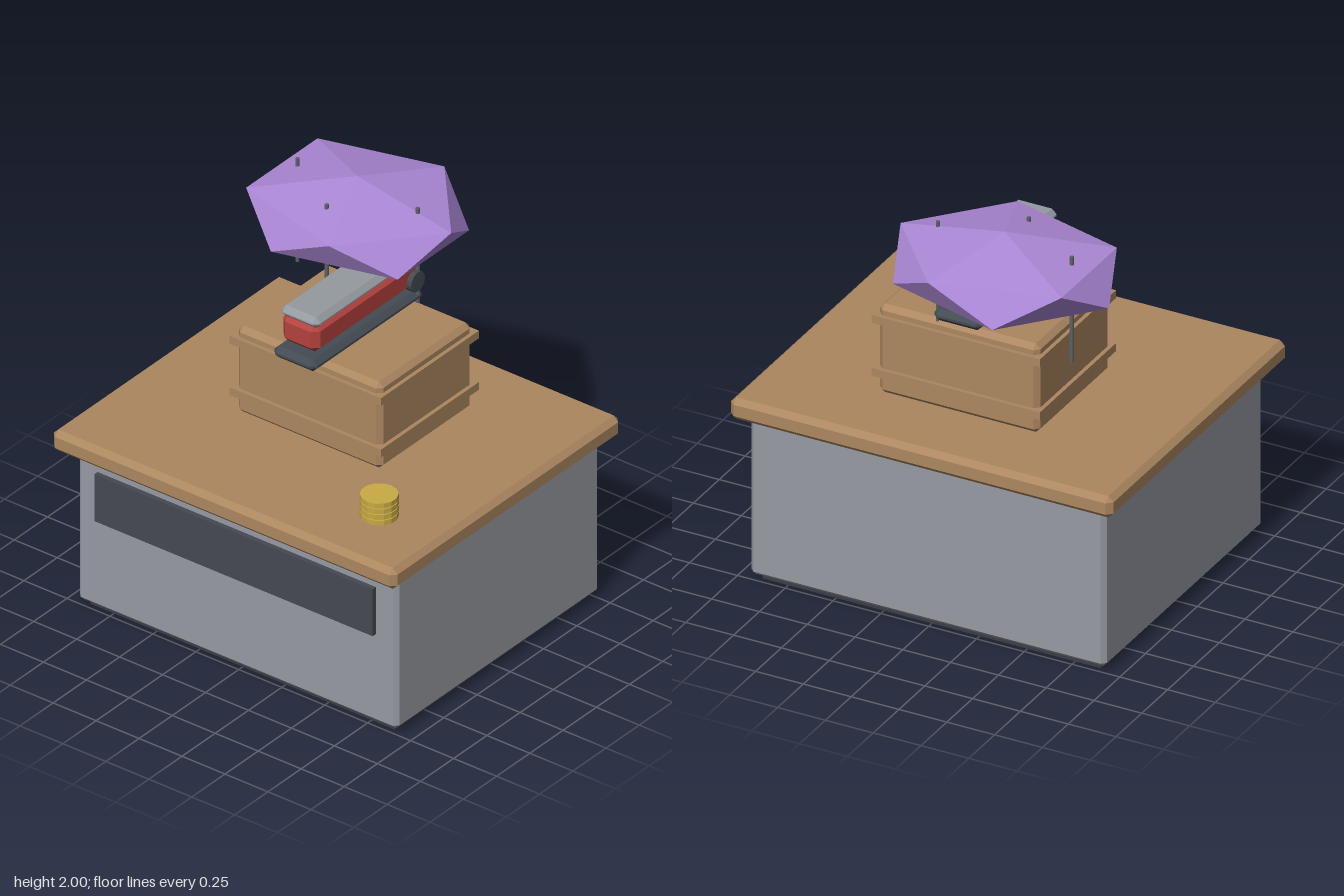
import * as THREE from 'three';
import { ConvexGeometry } from 'three/addons/geometries/ConvexGeometry.js';

export function createModel() {
  const model = new THREE.Group();
  model.name = 'counter';

  const mat = (name, color) => {
    const m = new THREE.MeshStandardMaterial({ color, flatShading: true });
    m.name = name;
    return m;
  };
  const wood = mat('wood', 0xac8760);
  const grey = mat('cabinet grey', 0x979aa2);
  const slate = mat('slate', 0x454952);
  const plinthDark = mat('plinth dark', 0x3c3d46);
  const steel = mat('steel', 0x949a9f);
  const iron = mat('iron', 0x434b53);
  const red = mat('red', 0xb4423d);
  const gold = mat('gold', 0xc9aa44);
  const purple = mat('purple', 0xab87d6);
  const rodGrey = mat('rod grey', 0x5e6165);

  const add = (name, geometry, material, x, y, z, parent = model) => {
    const mesh = new THREE.Mesh(geometry, material);
    mesh.name = name;
    mesh.position.set(x, y, z);
    parent.add(mesh);
    return mesh;
  };

  // Box from min/max extents; c > 0 chamfers every edge
  const block = (name, material, [x0, x1], [y0, y1], [z0, z1], c = 0, parent = model) => {
    const w = x1 - x0, h = y1 - y0, d = z1 - z0;
    let geometry;
    if (c > 0) {
      const pts = [];
      for (const sx of [-1, 1]) for (const sy of [-1, 1]) for (const sz of [-1, 1])
        for (let full = 0; full < 3; full++) {
          const k = (axis) => (axis === full ? 0 : c);
          pts.push(new THREE.Vector3(sx * (w / 2 - k(0)), sy * (h / 2 - k(1)), sz * (d / 2 - k(2))));
        }
      geometry = new ConvexGeometry(pts);
    } else geometry = new THREE.BoxGeometry(w, h, d);
    return add(name, geometry, material, (x0 + x1) / 2, (y0 + y1) / 2, (z0 + z1) / 2, parent);
  };

  // Cabinet
  block('plinth', plinthDark, [-0.885, 0.885], [0, 0.04], [-0.72, 0.72]);
  block('cabinet', grey, [-0.93, 0.93], [0.03, 0.867], [-0.765, 0.765], 0.022);
  block('frontPanel', slate, [-0.81, 0.81], [0.515, 0.77], [0.75, 0.79]);
  block('counterTop', wood, [-1, 1], [0.866, 0.98], [-0.838, 0.876], 0.027);

  // Wooden crate with two bands
  const crate = new THREE.Group();
  crate.name = 'crate';
  model.add(crate);
  block('crateBody', wood, [-0.42, 0.42], [0.98, 1.448], [-0.467, 0.23], 0.025, crate);
  for (const y of [1.075, 1.355])
    block('crateBand', wood, [-0.44, 0.44], [y, y + 0.042], [-0.487, 0.25], 0, crate);

  // Hinged press on the crate
  const press = new THREE.Group();
  press.name = 'press';
  model.add(press);
  block('pressBase', iron, [-0.125, 0.125], [1.448, 1.51], [-0.487, 0.345], 0.025, press);
  block('pressBody', red, [-0.107, 0.107], [1.524, 1.676], [-0.487, 0.307], 0.032, press);
  block('pressCover', steel, [-0.112, 0.112], [1.66, 1.718], [-0.32, 0.307], 0.025, press);
  const hinge = add('hinge', new THREE.CylinderGeometry(0.052, 0.052, 0.268, 14), iron, 0, 1.575, -0.425, press);
  hinge.rotation.z = Math.PI / 2;

  // Stack of coins
  for (let i = 0; i < 4; i++)
    add('coin', new THREE.CylinderGeometry(0.09, 0.09, 0.026, 14), gold, 0.647, 0.993 + i * 0.031, 0.53);

  // Faceted canopy: two poles and two staggered rings of five
  const points = [new THREE.Vector3(0, 0.18, 0), new THREE.Vector3(0, -0.18, 0)];
  for (let i = 0; i < 10; i++) {
    const a = (i * Math.PI) / 5;
    points.push(new THREE.Vector3(0.545 * Math.cos(a), i % 2 ? -0.08 : 0.08, 0.457 * Math.sin(a)));
  }
  add('canopy', new ConvexGeometry(points), purple, -0.235, 1.818, -0.447);

  // Thin rods through the canopy
  for (const [x, z] of [[-0.585, -0.447], [0.115, -0.447], [-0.235, -0.215]])
    add('rod', new THREE.CylinderGeometry(0.01, 0.01, 0.56, 8), rodGrey, x, 1.68, z);

  return model;
}
